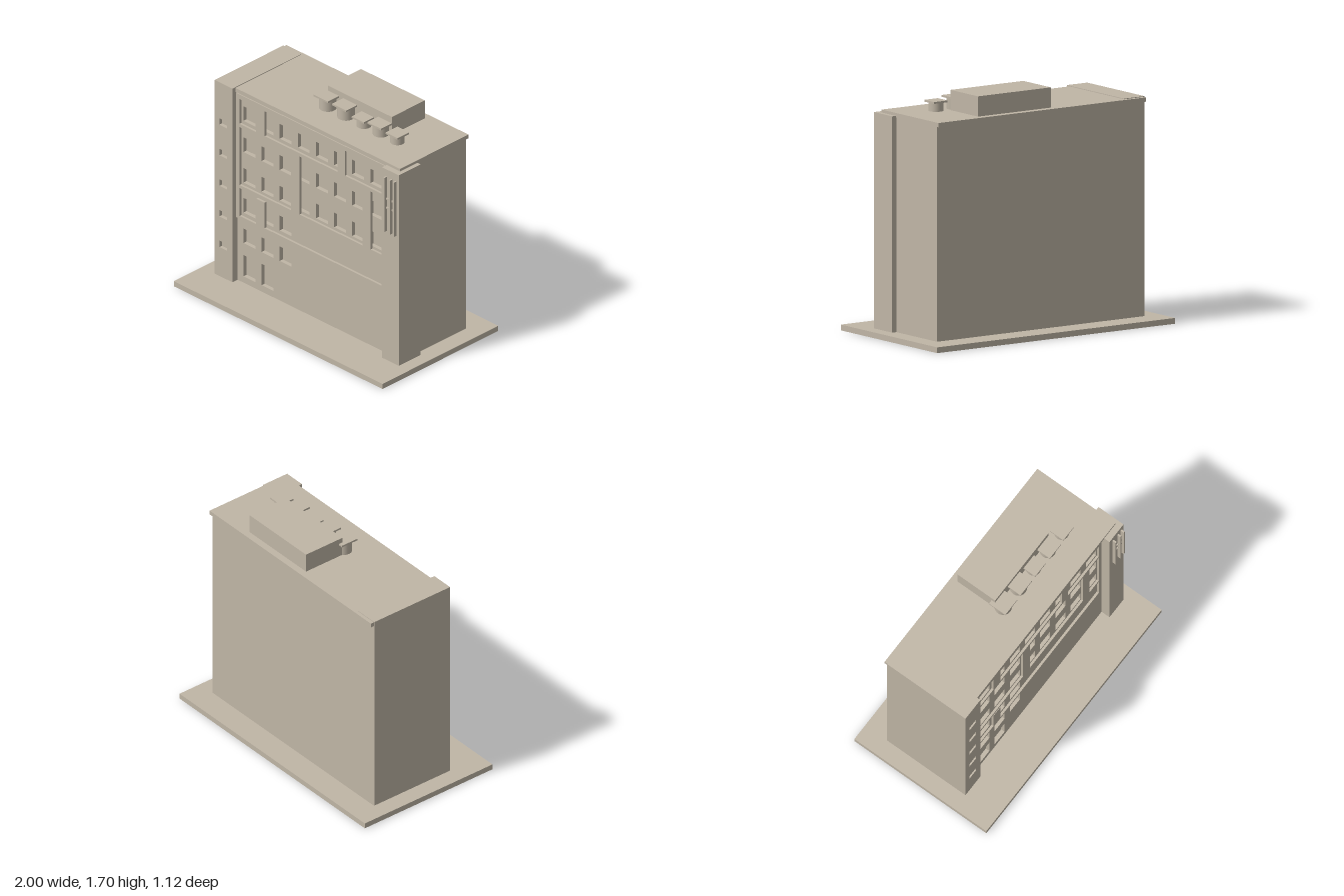
import * as THREE from 'three';

const stone = new THREE.MeshStandardMaterial({ color: 0xc0b6a6 });
stone.name = 'stone';

export function createModel() {
  const model = new THREE.Group();
  model.name = 'building';

  function add(name, geometry) {
    const mesh = new THREE.Mesh(geometry, stone);
    mesh.name = name;
    model.add(mesh);
    return mesh;
  }

  // Box given by its limits
  function box(name, x0, x1, y0, y1, z0, z1) {
    const mesh = add(name, new THREE.BoxGeometry(x1 - x0, y1 - y0, z1 - z0));
    mesh.position.set((x0 + x1) / 2, (y0 + y1) / 2, (z0 + z1) / 2);
    return mesh;
  }

  function rect(target, [x0, x1, y0, y1]) {
    target.moveTo(x0, y0);
    target.lineTo(x1, y0);
    target.lineTo(x1, y1);
    target.lineTo(x0, y1);
    target.closePath();
    return target;
  }

  // Upright slab with rectangular openings
  function pierced(name, outline, openings, z0, z1) {
    const shape = rect(new THREE.Shape(), outline);
    openings.forEach((o) => shape.holes.push(rect(new THREE.Path(), o)));
    const mesh = add(name, new THREE.ExtrudeGeometry(shape, { depth: z1 - z0, bevelEnabled: false }));
    mesh.position.z = z0;
    return mesh;
  }

  // Ground plinth and main block
  box('plinth', -1, 1, 0, 0.04, -0.56, 0.56);
  box('mainBlock', -0.868, 0.87, 0.04, 1.53, -0.378, 0.21);

  // Front wall with window openings: [bottom, top, number of windows]
  const windows = [];
  const rows = [
    [1.31, 1.425, 8], [1.065, 1.18, 8], [0.825, 0.94, 8],
    [0.59, 0.705, 3], [0.35, 0.465, 3], [0.09, 0.257, 2],
  ];
  for (const [y0, y1, count] of rows) {
    for (let i = 0; i < count; i++) {
      const x = -0.592 + i * 0.1735;
      windows.push([x - 0.057, x + 0.057, y0, y1]);
    }
  }
  pierced('frontWall', [-0.705, 0.745, 0.04, 1.53], windows, 0.21, 0.24);

  // Raised facade frame with wide piers between its bays
  pierced('facadeFrame', [-0.705, 0.72, 0.54, 1.515], [
    [-0.67, -0.51, 1.285, 1.48], [-0.43, 0.27, 1.285, 1.48], [0.34, 0.69, 1.285, 1.48],
    [-0.67, -0.175, 0.805, 1.26], [-0.095, 0.51, 0.805, 1.26], [0.585, 0.69, 0.805, 1.26],
    [-0.67, 0.69, 0.562, 0.78],
  ], 0.24, 0.257);
  box('lowerPier', -0.51, -0.43, 0.562, 0.762, 0.24, 0.257);

  // Stair tower with small recessed windows
  box('stairTower', -0.875, -0.705, 0.04, 1.56, -0.375, 0.265);
  const slits = [];
  for (let i = 0; i < 5; i++) slits.push([-0.83, -0.755, 0.267 + i * 0.24, 0.318 + i * 0.24]);
  pierced('towerFront', [-0.875, -0.705, 0.04, 1.56], slits, 0.265, 0.29);

  // Corner pillar with upright fins and cross rails
  box('cornerPillar', 0.745, 0.905, 0.04, 1.535, 0.095, 0.307);
  for (const x of [0.786, 0.84, 0.879]) box('fin', x - 0.006, x + 0.006, 1.055, 1.48, 0.307, 0.333);
  for (const y of [1.24, 1.31]) box('finRail', 0.78, 0.885, y - 0.006, y + 0.006, 0.307, 0.316);

  // Roof slab and rooftop room
  box('roofSlab', -0.87, 0.873, 1.525, 1.555, -0.4, 0.262);
  box('rooftopRoom', -0.107, 0.505, 1.555, 1.695, -0.35, -0.03);

  // Round roof vents with square caps: [x, z, radius, half cap width, top]
  const vents = [
    [-0.068, 0.01, 0.06, 0.069, 1.657], [0.106, 0.01, 0.06, 0.067, 1.655],
    [0.277, 0.01, 0.052, 0.059, 1.625], [0.44, 0.01, 0.056, 0.065, 1.645],
    [0.598, 0.01, 0.05, 0.057, 1.628],
  ];
  for (const [x, z, r, half, top] of vents) {
    const height = top - 0.012 - 1.55;
    const pipe = add('ventPipe', new THREE.CylinderGeometry(r, r, height, 32));
    pipe.position.set(x, 1.55 + height / 2, z);
    box('ventCap', x - half, x + half, top - 0.013, top, z - half, z + half);
  }
  return model;
}
